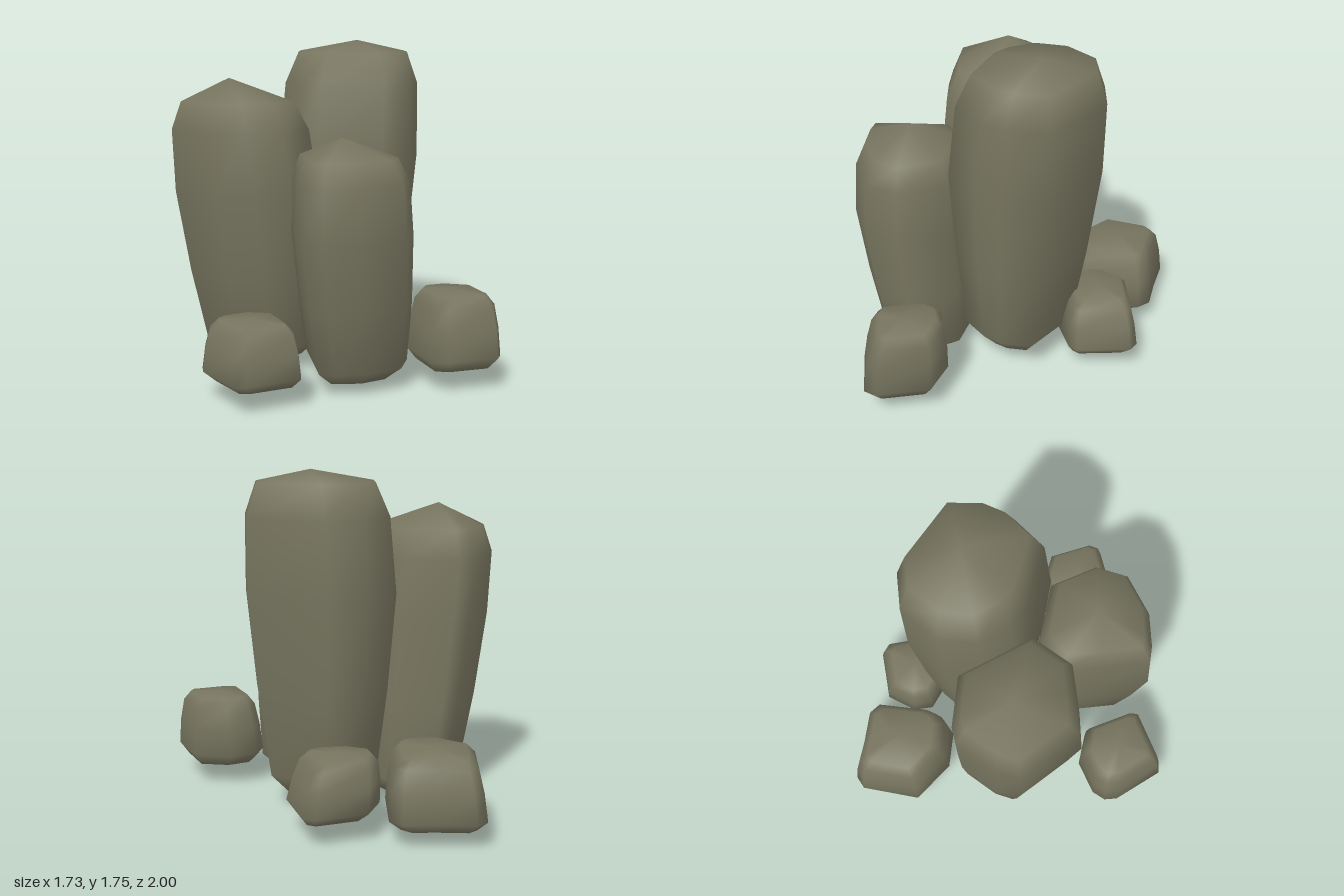
import * as THREE from 'three';

// Shared profiles from shoulder to foot: [height along the body, width]; sway is how far the shoulder follows the peak.
const PILLAR = {
  belly: 0.67, sway: 0.5,
  rings: [[1, 0.78], [0.9, 0.95], [0.67, 1], [0.37, 0.94], [0.1, 0.83], [0.035, 0.55]],
};
const BOULDER = {
  belly: 0.25, sway: 1,
  rings: [[1, 0.67], [0.88, 0.84], [0.6, 0.94], [0.25, 1], [0.1, 0.78]],
};

// Lofts a plan outline [x, z] along a profile that leans from the foot through the belly to the peak.
function stoneGeometry({ belly, sway, rings }, outline, peak, foot, dome, taper) {
  const box = new THREE.Box2().setFromPoints(outline.map(([x, z]) => new THREE.Vector2(x, z)));
  const centre = box.getCenter(new THREE.Vector2());
  const n = outline.length;
  const positions = [...peak];
  for (const [t, width] of rings) {
    const end = t > belly ? peak : foot;
    const lean = t > belly ? (sway * (t - belly)) / (1 - belly) : 1 - t / belly;
    const scale = width * (1 - taper * Math.max(0, belly - t));
    const y = foot[1] + t * (peak[1] - dome - foot[1]);
    for (const [x, z] of outline) {
      positions.push(
        centre.x + lean * (end[0] - centre.x) + scale * (x - centre.x),
        y,
        centre.y + lean * (end[2] - centre.y) + scale * (z - centre.y),
      );
    }
  }
  positions.push(...foot);

  // Peak fan, side quads and foot fan share vertices, so the normals stay smooth.
  const last = 1 + rings.length * n;
  const index = [];
  for (let i = 0; i < n; i++) {
    const j = (i + 1) % n;
    index.push(0, 1 + j, 1 + i);
    for (let r = 0; r < rings.length - 1; r++) {
      const a = 1 + r * n + i, b = 1 + r * n + j;
      index.push(a, b, b + n, a, b + n, a + n);
    }
    index.push(last - n + i, last - n + j, last);
  }
  const geometry = new THREE.BufferGeometry();
  geometry.setAttribute('position', new THREE.Float32BufferAttribute(positions, 3));
  geometry.setIndex(index);
  geometry.computeVertexNormals();
  return geometry;
}

export function createModel() {
  const group = new THREE.Group();
  group.name = 'rockCluster';
  const stone = new THREE.MeshStandardMaterial({ color: 0x77755f });
  stone.name = 'mossyStone';

  function addStone(name, profile, outline, peak, foot, dome, taper = 0) {
    const mesh = new THREE.Mesh(stoneGeometry(profile, outline, peak, foot, dome, taper), stone);
    mesh.name = name;
    group.add(mesh);
  }

  // Three standing pillars
  addStone('tallPillar', PILLAR,
    [[-0.03, -0.1], [0.03, -0.27], [0.2, -0.39], [0.45, -0.39], [0.6, -0.25],
      [0.65, 0.19], [0.48, 0.33], [0.34, 0.37], [0.12, 0.35], [-0.03, 0.02]],
    [0.39, 1.76, -0.01], [0.28, 0.04, 0], 0.06, 0.2);
  addStone('frontPillar', PILLAR,
    [[-0.56, 0.36], [-0.38, 0.17], [-0.22, 0], [-0.04, 0.04], [0.14, 0.36],
      [0.02, 0.61], [-0.15, 0.68], [-0.38, 0.58], [-0.51, 0.44]],
    [-0.21, 1.3, 0.33], [-0.1, 0.01, 0.32], 0.1);
  addStone('backPillar', PILLAR,
    [[-0.55, -0.2], [-0.47, -0.57], [-0.35, -0.62], [-0.1, -0.64], [-0.03, -0.59],
      [0.13, -0.36], [-0.03, 0.05], [-0.28, 0.07], [-0.42, -0.06]],
    [-0.25, 1.57, -0.38], [-0.1, 0.01, -0.26], 0.12, 0.06);

  // Four boulders around the foot
  addStone('frontBoulder', BOULDER,
    [[-0.04, 0.76], [0.12, 0.51], [0.22, 0.48], [0.35, 0.56], [0.43, 0.74], [0.28, 0.98], [0.22, 1], [0, 0.84]],
    [0.22, 0.51, 0.73], [0.2, 0.08, 0.74], 0.015);
  addStone('rightBoulder', BOULDER,
    [[-0.87, 0.18], [-0.78, -0.1], [-0.73, -0.15], [-0.65, -0.16], [-0.48, -0.08], [-0.4, 0.07],
      [-0.54, 0.33], [-0.58, 0.36], [-0.83, 0.23]],
    [-0.62, 0.43, 0.09], [-0.61, 0.07, 0.1], 0.015);
  addStone('backBoulder', BOULDER,
    [[0.09, -0.58], [0.1, -0.84], [0.38, -1], [0.45, -0.98], [0.54, -0.82], [0.63, -0.68],
      [0.62, -0.6], [0.35, -0.42], [0.28, -0.4], [0.2, -0.42]],
    [0.36, 0.455, -0.69], [0.33, 0.04, -0.7], 0.015);
  addStone('leftBoulder', BOULDER,
    [[0.4, -0.38], [0.47, -0.46], [0.64, -0.5], [0.85, -0.33], [0.86, -0.27], [0.68, -0.05], [0.63, -0.04], [0.45, -0.13]],
    [0.59, 0.425, -0.29], [0.62, 0.08, -0.25], 0.015);

  return group;
}
